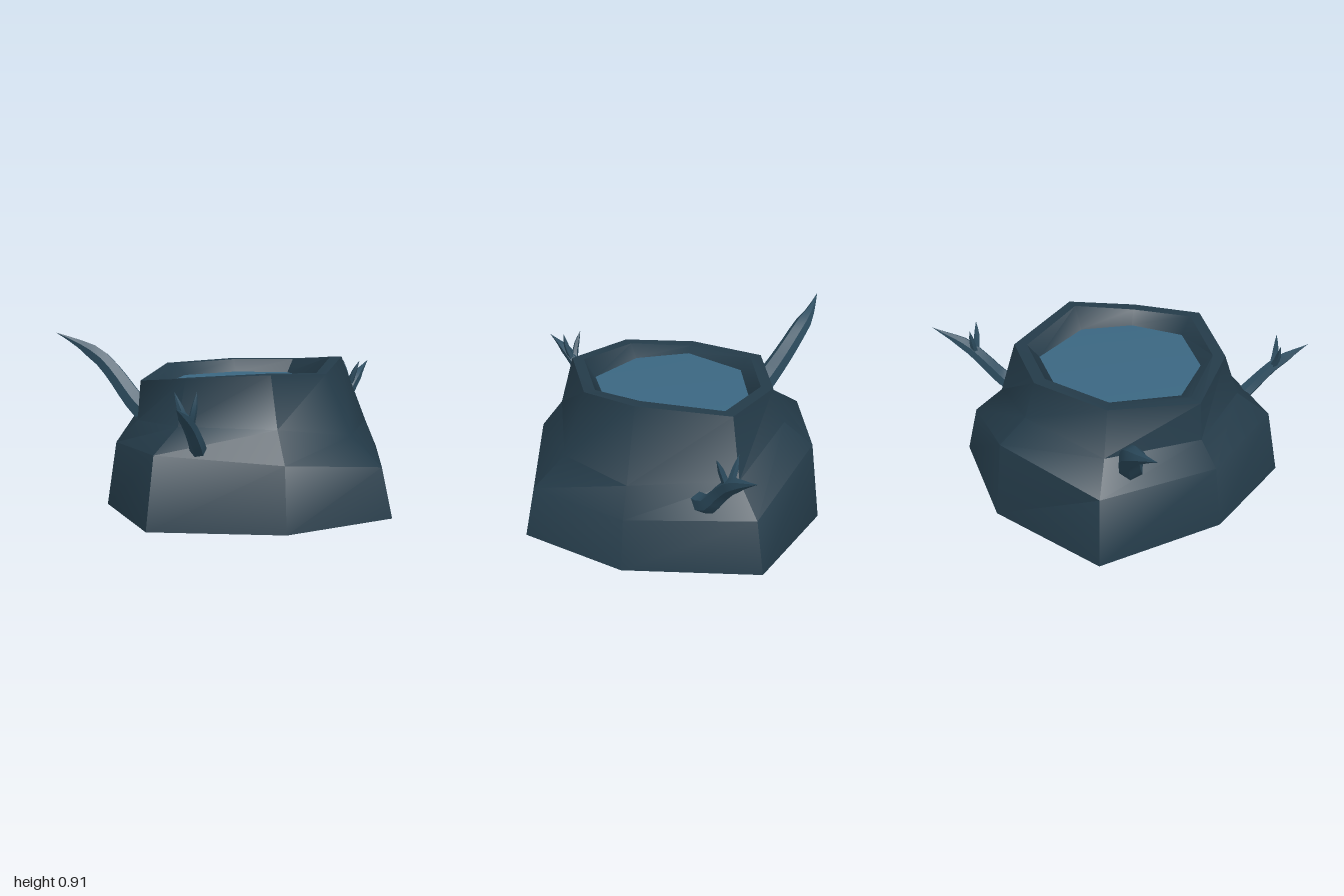
import * as THREE from 'three';
import { toCreasedNormals } from 'three/addons/utils/BufferGeometryUtils.js';

const barkMat = new THREE.MeshStandardMaterial({ color: 0x243b49 });
const branchMat = new THREE.MeshStandardMaterial({ color: 0x2d4d60 });
const poolMat = new THREE.MeshStandardMaterial({ color: 0x3b6782 });

// Skin between eight-cornered rings listed from the bottom up
function loft(rings, crease) {
  const pos = [];
  for (let r = 0; r < rings.length - 1; r++) {
    for (let i = 0; i < 8; i++) {
      const j = (i + 1) % 8;
      const a = rings[r][i], b = rings[r][j], A = rings[r + 1][i], B = rings[r + 1][j];
      if (a !== b) pos.push(...a, ...A, ...b);
      if (A !== B) pos.push(...b, ...A, ...B);
    }
  }
  const g = new THREE.BufferGeometry();
  g.setAttribute('position', new THREE.Float32BufferAttribute(pos, 3));
  return toCreasedNormals(g, crease);
}

const point = (x, y, z) => Array(8).fill([x, y, z]);

// Shrink a ring toward the pool centre
const inset = (ring, s, height) => ring.map(([x, y, z]) => [
  0.06 + (x - 0.06) * s, height === undefined ? y : height, -0.05 + (z + 0.05) * s]);

// Tapered, bent tube through the given points
function branch(points, radius, segments, sides) {
  const curve = new THREE.CatmullRomCurve3(points.map(p => new THREE.Vector3(...p)));
  const g = new THREE.TubeGeometry(curve, segments, radius, sides, false);
  const pos = g.attributes.position, v = new THREE.Vector3();
  for (let i = 0; i <= segments; i++) {
    const t = i / segments;
    const c = curve.getPointAt(t);
    const s = (1 - 0.45 * t) * Math.min(1, (1 - t) * 3.2);
    for (let k = 0; k <= sides; k++) {
      const n = i * (sides + 1) + k;
      v.fromBufferAttribute(pos, n).sub(c).multiplyScalar(s).add(c);
      pos.setXYZ(n, v.x, v.y, v.z);
    }
  }
  return toCreasedNormals(g.toNonIndexed(), 0.9);
}

export function createModel() {
  const model = new THREE.Group();
  const add = (name, geometry, material, parent = model) => {
    const m = new THREE.Mesh(geometry, material);
    m.name = name;
    parent.add(m);
  };

  // Corner order: back, back left side, left, front left, front, front right, right, back right
  const ground = [[0.09, 0, -0.9], [0.71, 0, -0.71], [0.87, 0, -0.01], [0.71, 0, 0.58],
    [0.09, 0, 0.77], [-0.59, 0, 0.58], [-0.745, 0, -0.01], [-0.59, 0, -0.71]];
  const shoulder = [[0.09, 0.44, -0.84], [0.66, 0.28, -0.66], [0.82, 0.27, -0.01], [0.66, 0.27, 0.54],
    [0.09, 0.34, 0.72], [-0.54, 0.38, 0.53], [-0.69, 0.35, -0.01], [-0.54, 0.38, -0.66]];
  const neck = [[0.08, 0.55, -0.68], [0.55, 0.43, -0.54], [0.75, 0.43, -0.01], [0.53, 0.42, 0.41],
    [0.08, 0.5, 0.6], [-0.4, 0.5, 0.41], [-0.57, 0.47, -0.01], [-0.41, 0.5, -0.53]];
  const rim = [[0.08, 0.74, -0.61], [0.47, 0.745, -0.48], [0.6, 0.8, -0.01], [0.41, 0.745, 0.33],
    [0.06, 0.77, 0.53], [-0.35, 0.74, 0.35], [-0.55, 0.69, -0.01], [-0.35, 0.735, -0.46]];
  const lip = inset(rim, 0.88);
  const shore = inset(rim, 0.77, 0.67);

  add('stump', loft([point(0.06, 0, -0.05), ground, shoulder, neck, rim, lip, shore], 0.82), barkMat);
  add('pool', loft([shore, point(0.08, 0.685, -0.03)], 0.8), poolMat);

  // Branches growing out of the shoulder, two of them with a pair of twigs
  const branches = [
    { name: 'rightBackBranch', radius: 0.072, path: [[-0.45, 0.4, -0.39], [-0.55, 0.51, -0.47],
      [-0.64, 0.64, -0.55], [-0.73, 0.75, -0.61], [-0.86, 0.84, -0.66], [-1, 0.91, -0.68]], twigs: [] },
    { name: 'leftBackBranch', radius: 0.055, path: [[0.63, 0.33, -0.35], [0.71, 0.37, -0.42],
      [0.78, 0.49, -0.5], [0.86, 0.59, -0.57], [1, 0.7, -0.71]],
      twigs: [[[0.82, 0.54, -0.54], [0.805, 0.62, -0.56], [0.79, 0.72, -0.58]],
        [[0.82, 0.54, -0.54], [0.84, 0.64, -0.51], [0.87, 0.72, -0.49]]] },
    { name: 'frontBranch', radius: 0.045, path: [[-0.31, 0.38, 0.53], [-0.33, 0.44, 0.6],
      [-0.38, 0.55, 0.7], [-0.42, 0.61, 0.78], [-0.47, 0.67, 0.89]],
      twigs: [[[-0.38, 0.54, 0.7], [-0.365, 0.63, 0.735], [-0.35, 0.73, 0.75]],
        [[-0.38, 0.54, 0.7], [-0.42, 0.63, 0.7], [-0.45, 0.72, 0.68]]] },
  ];
  for (const { name, radius, path, twigs } of branches) {
    const group = new THREE.Group();
    group.name = name;
    add('limb', branch(path, radius, 10, 6), branchMat, group);
    for (const t of twigs) add('twig', branch(t, 0.022, 5, 5), branchMat, group);
    model.add(group);
  }
  return model;
}
